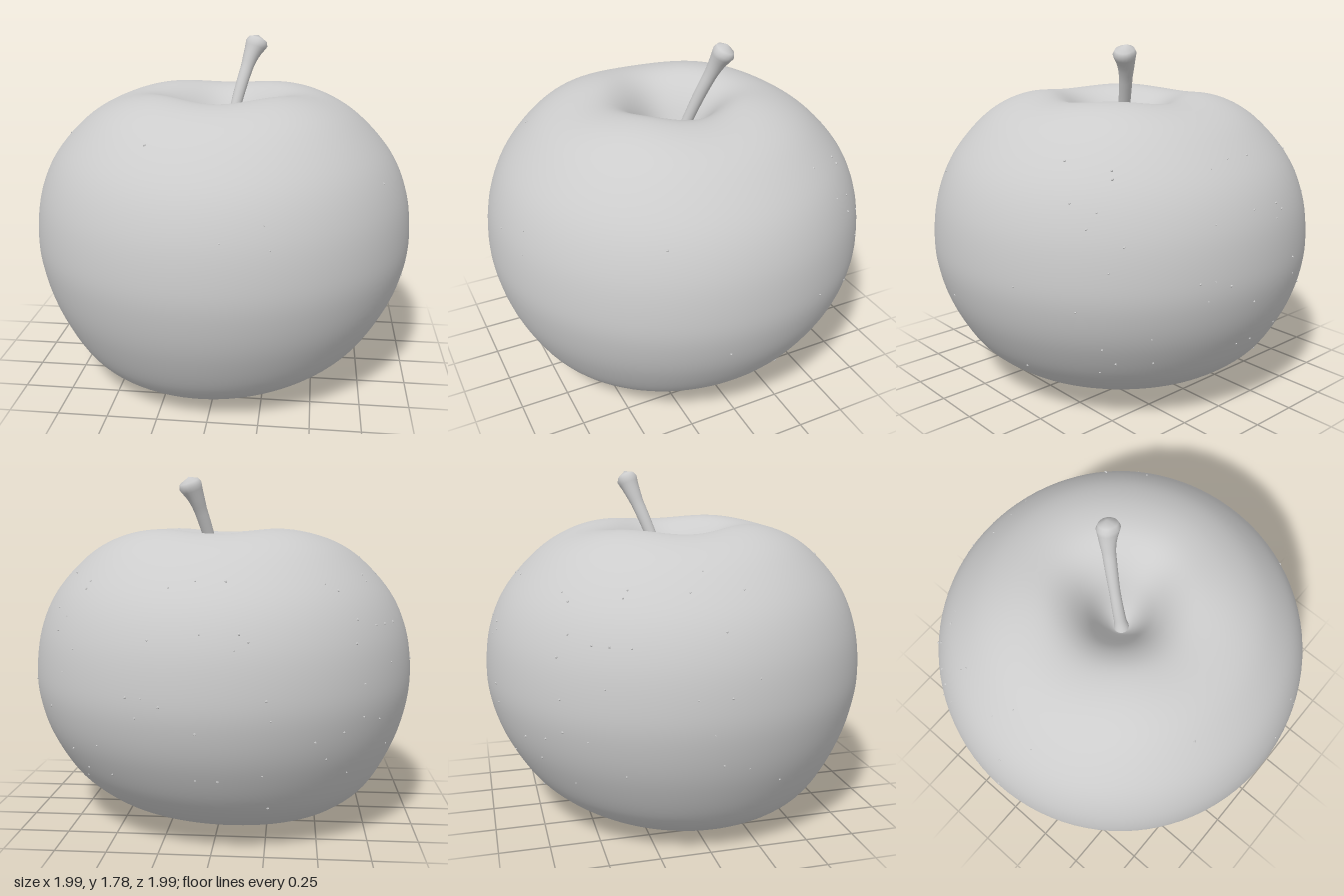
import * as THREE from 'three';
import { mergeVertices, mergeGeometries } from 'three/addons/utils/BufferGeometryUtils.js';

// weld seams and recompute smooth normals
function smooth(geo) {
  geo.deleteAttribute('uv');
  geo.deleteAttribute('normal');
  const welded = mergeVertices(geo, 1e-4);
  welded.computeVertexNormals();
  return welded;
}

function moveVertices(geo, rule) {
  const p = geo.attributes.position, v = new THREE.Vector3();
  for (let i = 0; i < p.count; i++) {
    v.fromBufferAttribute(p, i);
    rule(v, i);
    p.setXYZ(i, v.x, v.y, v.z);
  }
  return geo;
}

// gentle lobes around the crown and a slanted underside
function unevenness(v) {
  const a = Math.atan2(v.z, v.x);
  const r = Math.hypot(v.x, v.z);
  const ring = Math.min(1, r / 0.35);
  const high = THREE.MathUtils.smoothstep(v.y, 0.9, 1.5);
  const low = 1 - THREE.MathUtils.smoothstep(v.y, 0, 0.8);
  v.y += high * ring * (0.012 * (v.z + 0.3 * v.x) - 0.01 * Math.cos(4 * a));
  v.y += low * (0.05 * v.x - 0.05 * v.z) * (r < 0.75 ? 1 : 0.75 / r);
}

export function createModel() {
  const group = new THREE.Group();
  const grey = new THREE.MeshStandardMaterial({ color: 0xcccccc });
  grey.name = 'plain grey';
  const add = (name, geo) => {
    const mesh = new THREE.Mesh(geo, grey);
    mesh.name = name;
    group.add(mesh);
  };

  // fruit: a lathe profile from the lower hollow to the upper hollow
  const profile = new THREE.SplineCurve([
    [0, 0.3], [0.05, 0.28], [0.13, 0.16], [0.22, 0.06], [0.36, 0.025], [0.5, 0.03],
    [0.64, 0.085], [0.79, 0.21], [0.91, 0.41], [0.975, 0.6], [0.995, 0.78],
    [0.967, 1.0], [0.88, 1.2], [0.72, 1.38], [0.56, 1.475], [0.4, 1.505],
    [0.28, 1.47], [0.18, 1.37], [0.09, 1.2], [0.04, 1.13], [0, 1.12],
  ].map(([x, y]) => new THREE.Vector2(x, y)));
  const points = profile.getPoints(120);
  points[0].x = points[120].x = 0;
  const fruit = new THREE.LatheGeometry(points, 96);
  add('fruit', smooth(moveVertices(fruit, unevenness)));

  // stem: a tube whose radius swells at the base and the cut end
  const path = new THREE.CatmullRomCurve3([
    [0, 1.1, 0.01], [0.03, 1.3, -0.05], [0.075, 1.5, -0.12],
    [0.125, 1.67, -0.185], [0.16, 1.775, -0.22],
  ].map((p) => new THREE.Vector3(...p)));
  const rings = 32, sides = 20;
  const radii = [[0, 0.045], [0.1, 0.032], [0.4, 0.028], [0.75, 0.034], [0.88, 0.045], [0.96, 0.055], [1, 0]];
  const radiusAt = (t) => {
    const k = Math.max(1, radii.findIndex(([u]) => u >= t - 1e-6));
    const [t0, r0] = radii[k - 1], [t1, r1] = radii[k];
    return THREE.MathUtils.mapLinear(t, t0, t1, r0, r1);
  };
  const stem = new THREE.TubeGeometry(path, rings, 1, sides);
  moveVertices(stem, (v, i) => {
    const t = Math.floor(i / (sides + 1)) / rings;
    const c = path.getPointAt(t);
    const out = v.clone().sub(c);
    // the cut end juts to one side
    const jut = 1 + 0.35 * THREE.MathUtils.smoothstep(t, 0.8, 0.95) * Math.max(0, out.x);
    v.copy(c).addScaledVector(out, radiusAt(t) * jut);
  });
  add('stem', smooth(stem));

  // skin specks, mostly towards the back and right
  let seed = 7;
  const random = () => (seed = (seed * 16807) % 2147483647) / 2147483647;
  const specks = [];
  for (let i = 0; i < 70; i++) {
    const angle = i < 55 ? Math.PI * (0.95 + 0.9 * random()) : Math.PI * 2 * random();
    const p = points[Math.round(42 + 36 * random())];
    const v = new THREE.Vector3(p.x * Math.cos(angle), p.y, p.x * Math.sin(angle));
    unevenness(v);
    specks.push(new THREE.IcosahedronGeometry(0.004 + 0.003 * random(), 0).translate(v.x, v.y, v.z));
  }
  add('skinSpecks', mergeGeometries(specks));

  return group;
}
